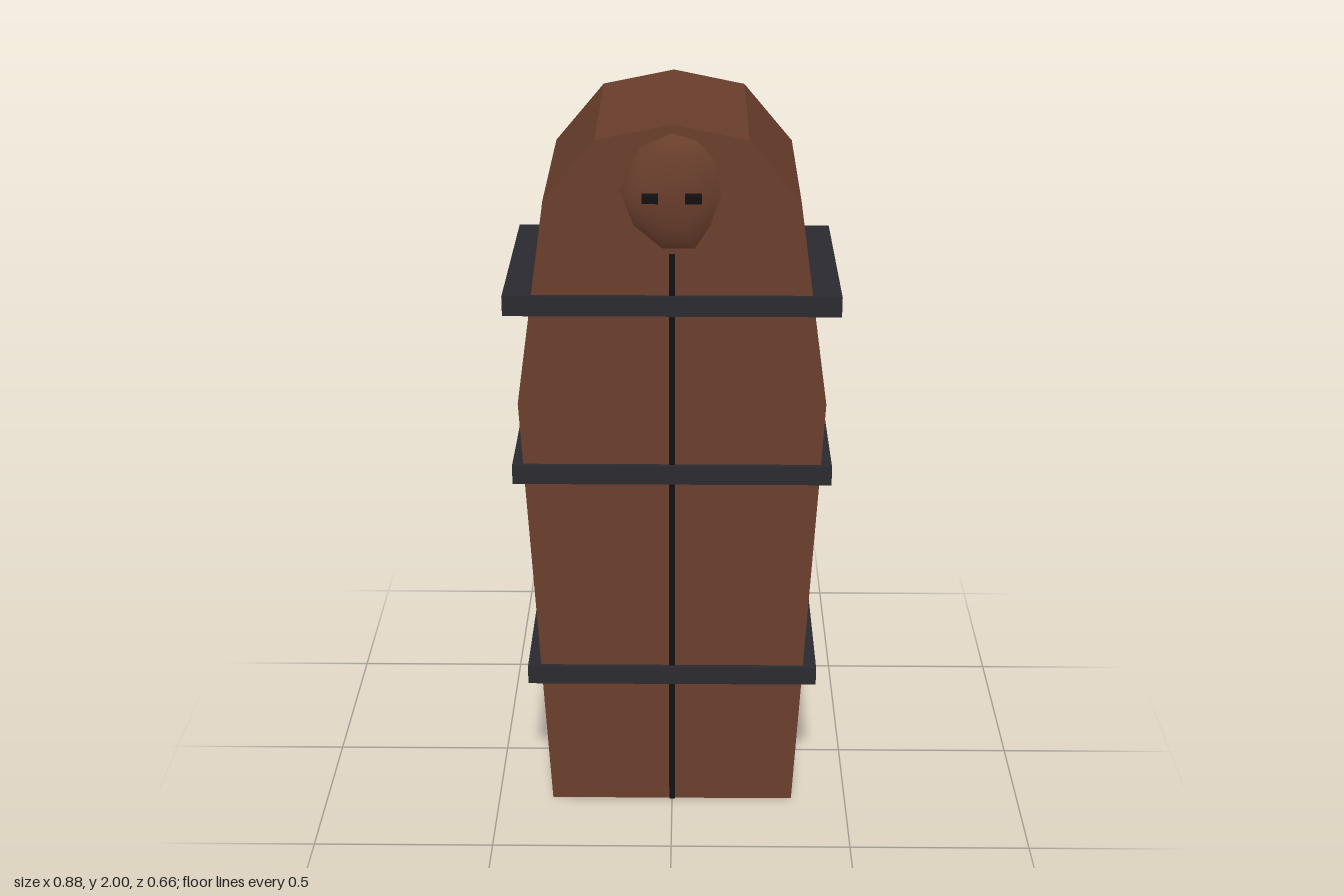
import * as THREE from 'three';

export function createModel() {
  const model = new THREE.Group();
  const wood = new THREE.MeshStandardMaterial({ color: 0x6b3f2d });
  const iron = new THREE.MeshStandardMaterial({ color: 0x2a2a30 });
  const black = new THREE.MeshStandardMaterial({ color: 0x111114 });

  function add(name, geometry, material, x = 0, y = 0, z = 0) {
    const mesh = new THREE.Mesh(geometry, material);
    mesh.name = name;
    mesh.position.set(x, y, z);
    model.add(mesh);
    return mesh;
  }

  // Casket body: half outline mirrored, then extruded front to back
  const half = [[0.345, 0], [0.41, 1.24], [0.33, 1.8], [0.195, 1.96]];
  const outline = [
    ...half,
    [0, 2],
    ...half.map(([x, y]) => [-x, y]).reverse(),
  ].map(([x, y]) => new THREE.Vector2(x, y));
  const bodyGeometry = new THREE.ExtrudeGeometry(new THREE.Shape(outline), { depth: 0.58, bevelEnabled: false });
  add('body', bodyGeometry, wood, 0, 0, -0.32);

  // Iron bands around the body: [height, half width]
  for (const [y, w] of [[0.417, 0.405], [1.038, 0.43], [1.52, 0.442]]) {
    add('band', new THREE.BoxGeometry(w * 2, 0.054, 0.605), iron, 0, y, -0.0285);
  }

  // Door seam, showing on front and back
  add('seam', new THREE.BoxGeometry(0.016, 1.66, 0.59), black, 0, 0.83, -0.03);

  // Carved face: shallow dome lofted from an irregular rim to its centre
  const rim = [
    [0, 1.98], [-0.08, 1.945], [-0.135, 1.83], [-0.1, 1.735], [-0.025, 1.672],
    [0.06, 1.672], [0.1, 1.735], [0.127, 1.815], [0.11, 1.91], [0.065, 1.96],
  ];
  const rings = [[1, 0.258], [0.85, 0.276], [0.6, 0.29], [0.3, 0.299]];
  const n = rim.length;
  const cy = 1.835;
  const points = [];
  const index = [];
  rings.forEach(([s, z]) => rim.forEach(([x, y]) => points.push(x * s, cy + (y - cy) * s, z)));
  points.push(0, cy, 0.302);
  for (let i = 0; i < n; i++) {
    const j = (i + 1) % n;
    for (let r = 0; r < rings.length - 1; r++) {
      const a = r * n + i, b = r * n + j;
      index.push(a, b, b + n, a, b + n, a + n);
    }
    const last = (rings.length - 1) * n;
    index.push(last + i, last + j, rings.length * n);
  }
  const face = new THREE.BufferGeometry();
  face.setAttribute('position', new THREE.Float32BufferAttribute(points, 3));
  face.setIndex(index);
  face.computeVertexNormals();
  add('face', face, wood);

  // Eyes
  for (const side of [-1, 1]) {
    add('eye', new THREE.BoxGeometry(0.042, 0.02, 0.026), black, side * 0.055, 1.824, 0.316);
  }

  return model;
}
